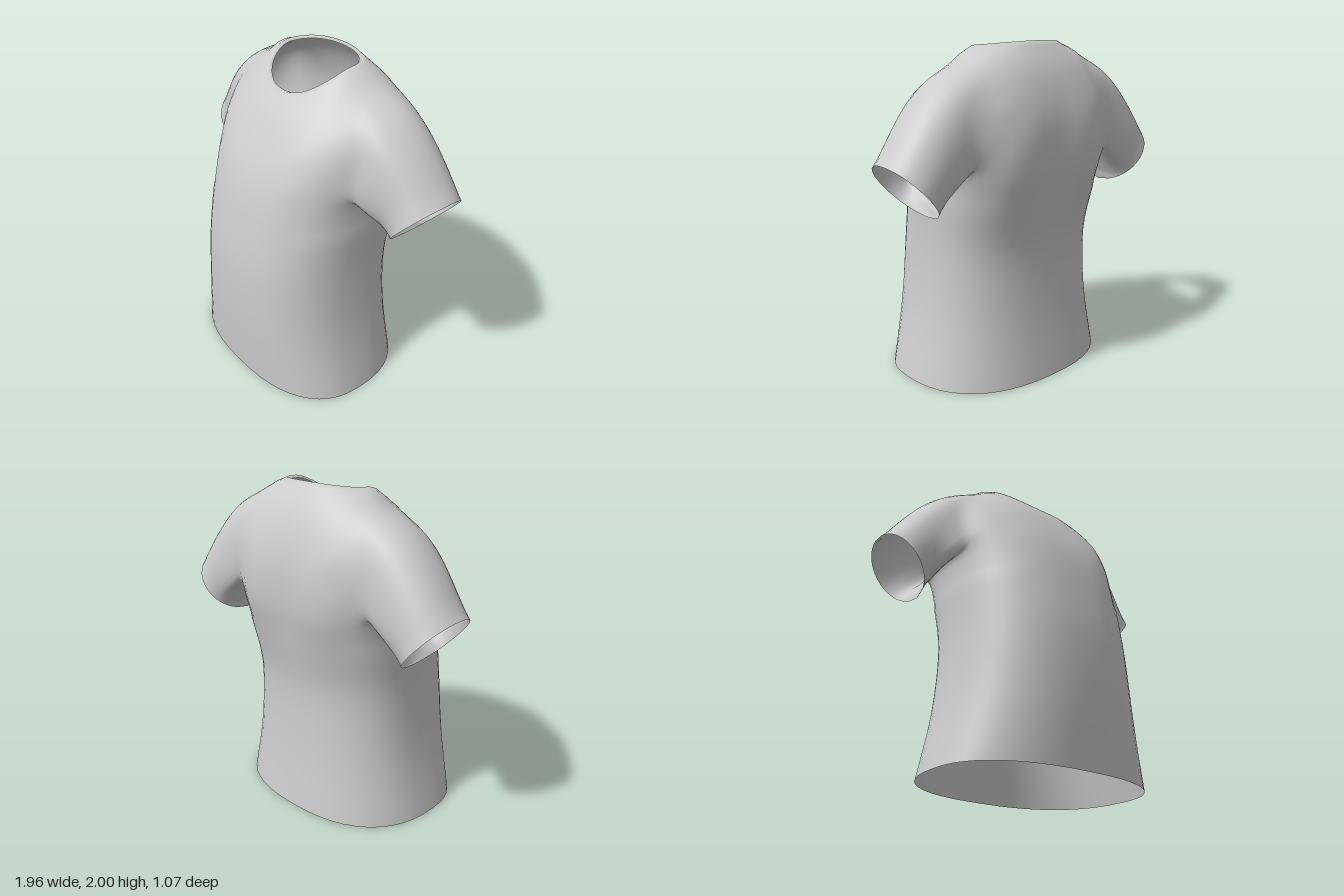
import * as THREE from 'three';

const COLS = 48, SUB = 4, SLEEVE_STEPS = 12;
// Armhole window in the torso grid: rows and columns (left side)
const R0 = 17, R1 = 27, C0 = 9, C1 = 17;

// Body rings, hem to collar:
// [yFront, ySide, yBack, halfWidth, zFront, zBack, zCentre, roundness]
const RINGS = [
  [0, 0, 0, 0.68, 0.515, -0.5, 0.07, 0.82],
  [0.4, 0.4, 0.4, 0.595, 0.535, -0.45, 0.04, 0.8],
  [0.8, 0.8, 0.8, 0.558, 0.525, -0.435, 0, 0.78],
  [1.1, 1.1, 1.1, 0.563, 0.48, -0.495, -0.07, 0.77],
  [1.3, 1.28, 1.3, 0.575, 0.435, -0.54, -0.13, 0.76],
  [1.45, 1.52, 1.5, 0.6, 0.38, -0.54, -0.18, 0.76],
  [1.6, 1.75, 1.68, 0.58, 0.3, -0.5, -0.2, 0.78],
  [1.72, 1.915, 1.86, 0.43, 0.225, -0.425, -0.19, 0.84],
  [1.82, 1.98, 2.0, 0.285, 0.14, -0.32, -0.13, 0.9],
];
const COLLAR_LIP = [1.815, 1.965, 1.985, 0.268, 0.118, -0.307, -0.13, 0.9];

function catmull(a, b, c, d, t) {
  return 0.5 * (2 * b + (c - a) * t + (2 * a - 5 * b + 4 * c - d) * t * t + (3 * b - a - 3 * c + d) * t * t * t);
}

function ringAt(f) {
  const i = Math.min(Math.floor(f), RINGS.length - 2);
  const at = (k) => RINGS[Math.max(0, Math.min(RINGS.length - 1, k))];
  return RINGS[0].map((_, n) => catmull(at(i - 1)[n], at(i)[n], at(i + 1)[n], at(i + 2)[n], f - i));
}

function bodyPoint([yF, yS, yB, w, zF, zB, zc, e], angle) {
  const s = Math.sin(angle), c = Math.cos(angle);
  const x = w * Math.sign(s) * Math.abs(s) ** e;
  const k = Math.abs(c) ** e;
  const y = yS + ((c > 0 ? yF : yB) - yS) * Math.abs(c) ** 1.4;
  let z = c > 0 ? zc + (zF - zc) * k : zc + (zB - zc) * k;
  // shallow groove down the spine
  if (c < 0) z += 0.035 * Math.exp(-((x / 0.13) ** 2) - ((y - 1.35) / 0.3) ** 2);
  return new THREE.Vector3(x, y, z);
}

// Softens the joints by averaging neighbours; open edges stay put
function relax(points, index, rounds, inZone) {
  const near = points.map(() => new Set());
  const edgeUse = new Map();
  for (let i = 0; i < index.length; i += 3) {
    for (let k = 0; k < 3; k++) {
      const a = index[i + k], b = index[i + (k + 1) % 3];
      near[a].add(b);
      near[b].add(a);
      const key = Math.min(a, b) + '_' + Math.max(a, b);
      edgeUse.set(key, (edgeUse.get(key) || 0) + 1);
    }
  }
  const fixed = new Set();
  for (const [key, n] of edgeUse) if (n === 1) key.split('_').forEach((v) => fixed.add(+v));
  for (let r = 0; r < rounds; r++) {
    const old = points.map((p) => p.clone());
    points.forEach((p, i) => {
      if (fixed.has(i) || !near[i].size || !inZone(old[i])) return;
      const mean = new THREE.Vector3();
      near[i].forEach((n) => mean.add(old[n]));
      p.lerp(mean.divideScalar(near[i].size), 0.5);
    });
  }
}

export function createModel() {
  const points = [], index = [];
  const quad = (a, b, c, d, flip) => (flip ? index.push(a, c, b, a, d, c) : index.push(a, b, c, a, c, d));

  // Torso, shoulders and collar as one grid with two armholes left out
  const rows = (RINGS.length - 1) * SUB + 1;
  for (let i = 0; i <= rows; i++) {
    const ring = i < rows ? ringAt(i / SUB) : COLLAR_LIP;
    for (let j = 0; j < COLS; j++) points.push(bodyPoint(ring, (j / COLS) * Math.PI * 2));
  }
  const id = (i, j) => i * COLS + ((j + COLS) % COLS);
  const inHole = (i, j) => i >= R0 && i < R1 && j >= C0 && j < C1;
  for (let i = 0; i < rows; i++) {
    for (let j = 0; j < COLS; j++) {
      if (inHole(i, j) || inHole(i, COLS - 1 - j)) continue;
      quad(id(i, j), id(i, j + 1), id(i + 1, j + 1), id(i + 1, j));
    }
  }

  // Sleeves grow from the armhole loop to a slanted oval cuff
  const cuffCentre = new THREE.Vector3(0.84, 1.24, -0.215);
  const cuffUp = new THREE.Vector3(0.14, 0.16, 0);
  const mirror = (p, side) => new THREE.Vector3(p.x * side, p.y, p.z);
  for (const side of [1, -1]) {
    const loop = [];
    const add = (i, j) => loop.push(id(i, side * j));
    for (let j = C0; j < C1; j++) add(R0, j);
    for (let i = R0; i < R1; i++) add(i, C1);
    for (let j = C1; j > C0; j--) add(R1, j);
    for (let i = R1; i > R0; i--) add(i, C0);

    const curves = loop.map((v) => {
      const p = mirror(points[v], side);
      const a = Math.atan2((p.z + 0.15) / 0.25, (p.y - 1.59) / 0.28);
      const q = cuffCentre.clone().addScaledVector(cuffUp, Math.cos(a));
      q.z += 0.225 * Math.sin(a);
      const top = (Math.cos(a) + 1) / 2;
      const reach = p.distanceTo(q) * 0.33;
      const p1 = p.clone().add(new THREE.Vector3(0.4 + 0.6 * top, -0.75 + 0.6 * top, 0).multiplyScalar(reach));
      const p2 = q.clone().add(new THREE.Vector3(-0.55, 0.8, 0).multiplyScalar(reach));
      return new THREE.CubicBezierCurve3(p, p1, p2, q);
    });

    let previous = loop;
    for (let s = 1; s <= SLEEVE_STEPS; s++) {
      const next = curves.map((c) => points.push(mirror(c.getPoint(s / SLEEVE_STEPS), side)) - 1);
      loop.forEach((_, k) => {
        const m = (k + 1) % loop.length;
        quad(previous[k], previous[m], next[m], next[k], side < 0);
      });
      previous = next;
    }
  }

  relax(points, index, 5, (p) => Math.abs(p.x) > 0.35 && p.y > 1.1);

  const geometry = new THREE.BufferGeometry().setFromPoints(points);
  geometry.setIndex(index);
  geometry.computeVertexNormals();
  const shirt = new THREE.Mesh(
    geometry,
    new THREE.MeshStandardMaterial({ color: 0xcccccc, side: THREE.DoubleSide }),
  );
  shirt.name = 'shirtBodyAndSleeves';

  const group = new THREE.Group();
  group.name = 'shirt';
  group.add(shirt);
  return group;
}
